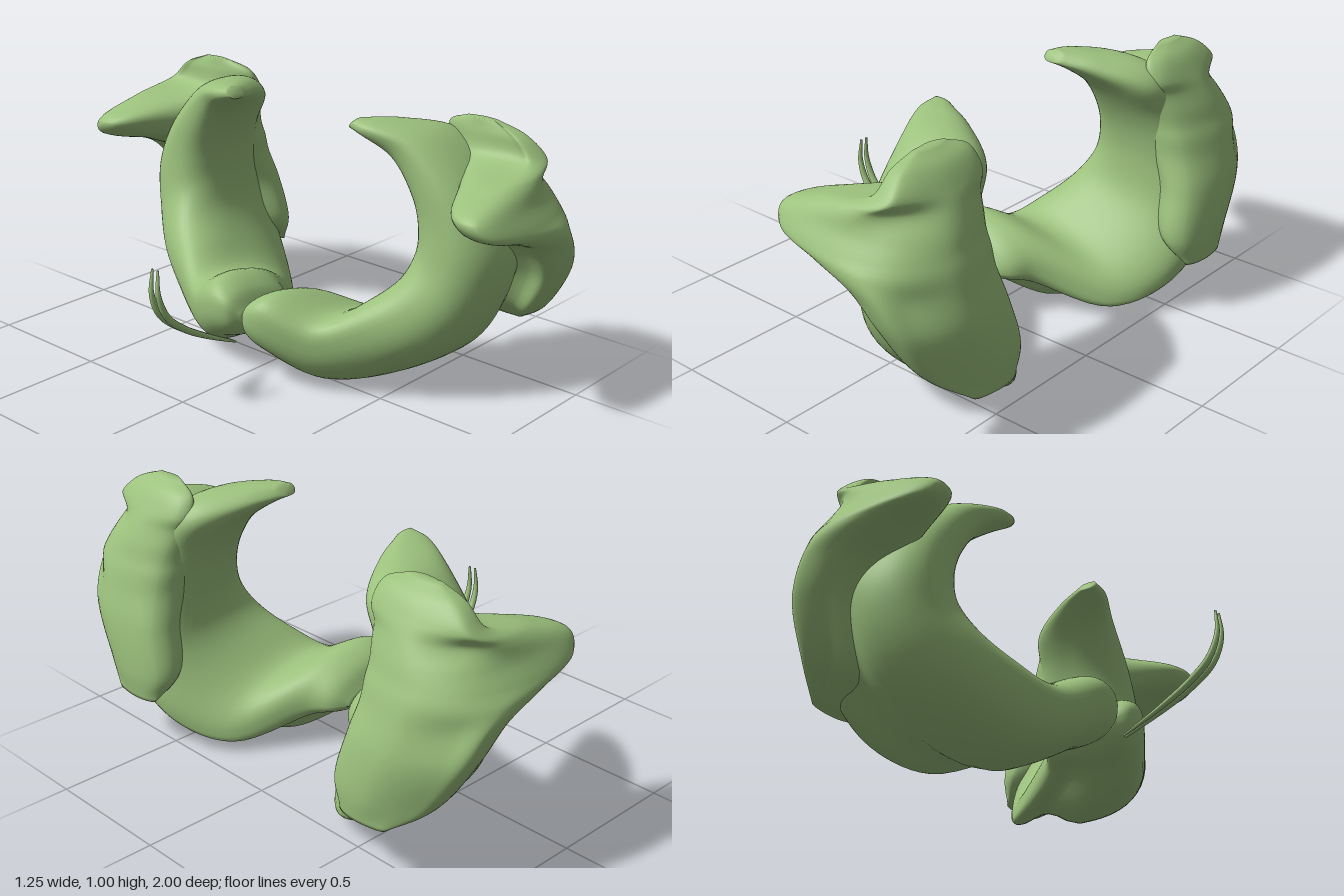
import * as THREE from 'three';

const green = new THREE.MeshStandardMaterial({ color: 0x9cc17d });
green.name = 'soft green';
const V = (x, y, z) => new THREE.Vector3(x, y, z);
const { lerp: mix, smoothstep } = THREE.MathUtils;

// Smooth closed skin through coarse rings of equal point count
function loft(rings, steps) {
  const cols = rings[0].map((_, j) => new THREE.CatmullRomCurve3(rings.map(r => r[j])));
  const n = cols.length, pos = [], idx = [];
  const centre = ring => ring.reduce((s, p) => s.add(p), V(0, 0, 0)).divideScalar(n);
  for (let i = 0; i <= steps; i++)
    for (const c of cols) pos.push(...c.getPoint(i / steps).toArray());
  for (let i = 0; i < steps; i++)
    for (let j = 0; j < n; j++) {
      const a = i * n + j, b = i * n + (j + 1) % n;
      idx.push(a, b, a + n, b, b + n, a + n);
    }
  // end caps
  const c0 = pos.length / 3, last = steps * n;
  pos.push(...centre(rings[0].map(p => p.clone())).toArray());
  pos.push(...centre(rings[rings.length - 1]).toArray());
  for (let j = 0; j < n; j++) {
    const k = (j + 1) % n;
    idx.push(c0, k, j, c0 + 1, last + j, last + k);
  }
  // turn the skin outward whichever way the rings run
  let volume = 0;
  const at = i => V(pos[3 * i], pos[3 * i + 1], pos[3 * i + 2]);
  for (let i = 0; i < idx.length; i += 3)
    volume += at(idx[i]).dot(at(idx[i + 1]).cross(at(idx[i + 2])));
  if (volume < 0) idx.reverse();
  const g = new THREE.BufferGeometry();
  g.setAttribute('position', new THREE.Float32BufferAttribute(pos, 3));
  g.setIndex(idx);
  g.computeVertexNormals();
  return g;
}

// Crescent limb: inner z, y, outer z, y, x from, x to
const LIMB = [
  [0.005, 0.23, 0.004, 0.17, -0.19, 0.05],
  [0.05, 0.30, 0.04, 0.13, -0.235, 0.11],
  [0.13, 0.335, 0.12, 0.09, -0.24, 0.17],
  [0.30, 0.26, 0.28, 0.0, -0.16, 0.41],
  [0.41, 0.33, 0.50, 0.06, -0.07, 0.53],
  [0.48, 0.43, 0.70, 0.20, 0.01, 0.57],
  [0.50, 0.55, 0.80, 0.38, 0.07, 0.54],
  [0.49, 0.66, 0.82, 0.56, 0.09, 0.50],
  [0.46, 0.75, 0.74, 0.75, 0.095, 0.46],
  [0.40, 0.85, 0.56, 0.94, 0.085, 0.42],
  [0.32, 0.925, 0.40, 0.985, 0.045, 0.25],
  [0.28, 0.95, 0.31, 0.99, 0.05, 0.12],
];

function limbRings(side) {
  const soft = v => Math.sign(v) * Math.abs(v) ** 0.85;
  return LIMB.map(([zi, yi, zo, yo, x0, x1], i) => {
    // the lower part leans down toward +x and has a groove along its underside
    const tilt = 0.23 * (smoothstep(i, 4, 7) - 1);
    const groove = 0.25 * smoothstep(i, 1, 3) * (1 - smoothstep(i, 5, 7));
    return Array.from({ length: 48 }, (_, j) => {
      const t = j / 48 * Math.PI * 2, c = soft(Math.cos(t)), s = soft(Math.sin(t));
      const dx = (x1 - x0) / 2 * c;
      const dent = c > 0 && s > 0 ? groove * Math.sin(Math.PI * c) ** 2 : 0;
      const m = 0.5 + 0.5 * s - dent;
      const y = mix(yi, yo, m) + tilt * dx * Math.min(1, 2 - 2 * m);
      return V((x0 + x1) / 2 + dx, Math.max(0, y), side * mix(zi, zo, m));
    });
  });
}

// Outer hood: height, horn tip x, fold x, back x, outer z, inner z
const HOOD = [
  [0.20, 0.56, 0.56, 0.61, 0.71, 0.50],
  [0.30, 0.43, 0.40, 0.62, 0.84, 0.45],
  [0.48, 0.37, 0.33, 0.61, 0.95, 0.49],
  [0.60, 0.28, 0.26, 0.58, 0.985, 0.51],
  [0.67, 0.13, 0.22, 0.56, 0.995, 0.51],
  [0.72, -0.03, 0.20, 0.54, 0.98, 0.51],
  [0.775, -0.05, 0.20, 0.52, 0.95, 0.50],
  [0.84, 0.11, 0.25, 0.49, 0.92, 0.48],
  [0.89, 0.31, 0.31, 0.465, 0.885, 0.47],
  [0.96, 0.325, 0.325, 0.42, 0.81, 0.49],
  [1.00, 0.335, 0.33, 0.365, 0.71, 0.58],
];

function hoodRings(side) {
  return HOOD.map(([y, tip, fold, back, zo, zi]) => {
    const k = Math.min(1, (back - tip) / 0.3);
    const outline = new THREE.CatmullRomCurve3([
      [tip, zo - 0.03 * k], [mix(tip, back, 0.5), zo], [back - 0.09 * k, zo - 0.07 * k],
      [back, mix(zi, zo, 0.5)], [back - 0.05 * k, zi + 0.03], [back - 0.16 * k, zi],
      [fold, mix(zi, zo, 0.35)], [tip, zo - 0.13 * k],
    ].map(([x, z]) => V(x, y, side * z)), true);
    return Array.from({ length: 64 }, (_, j) => outline.getPoint(j / 64));
  });
}

// Thin curved strand: x, y of its centre line
const STRAND = [[-0.235, 0.15], [-0.38, 0.22], [-0.5, 0.29], [-0.58, 0.36], [-0.617, 0.45], [-0.613, 0.54]];

function strandRings(side) {
  const line = new THREE.CatmullRomCurve3(
    STRAND.map(([x, y], i) => V(x, y, side * (0.007 + 0.011 * Math.sin(i / 2)))));
  return Array.from({ length: 17 }, (_, i) => {
    const u = i / 16, p = line.getPoint(u), d = line.getTangent(u);
    const across = V(-d.y, d.x, 0).normalize(), r = 0.004 + 0.009 * Math.sin(Math.PI * u);
    return Array.from({ length: 12 }, (_, j) => {
      const t = j / 12 * Math.PI * 2;
      return p.clone().addScaledVector(across, r * Math.cos(t)).add(V(0, 0, 1.1 * r * Math.sin(t)));
    });
  });
}

export function createModel() {
  const model = new THREE.Group();
  model.name = 'pairedCrescents';
  for (const [side, label] of [[1, 'front'], [-1, 'back']]) {
    const half = new THREE.Group();
    half.name = label + 'Half';
    const add = (name, rings, steps) => {
      const mesh = new THREE.Mesh(loft(rings, steps), green);
      mesh.name = name;
      half.add(mesh);
    };
    add('crescentLimb', limbRings(side), 80);
    add('outerHood', hoodRings(side), 80);
    add('thinStrand', strandRings(side), 48);
    model.add(half);
  }
  return model;
}
